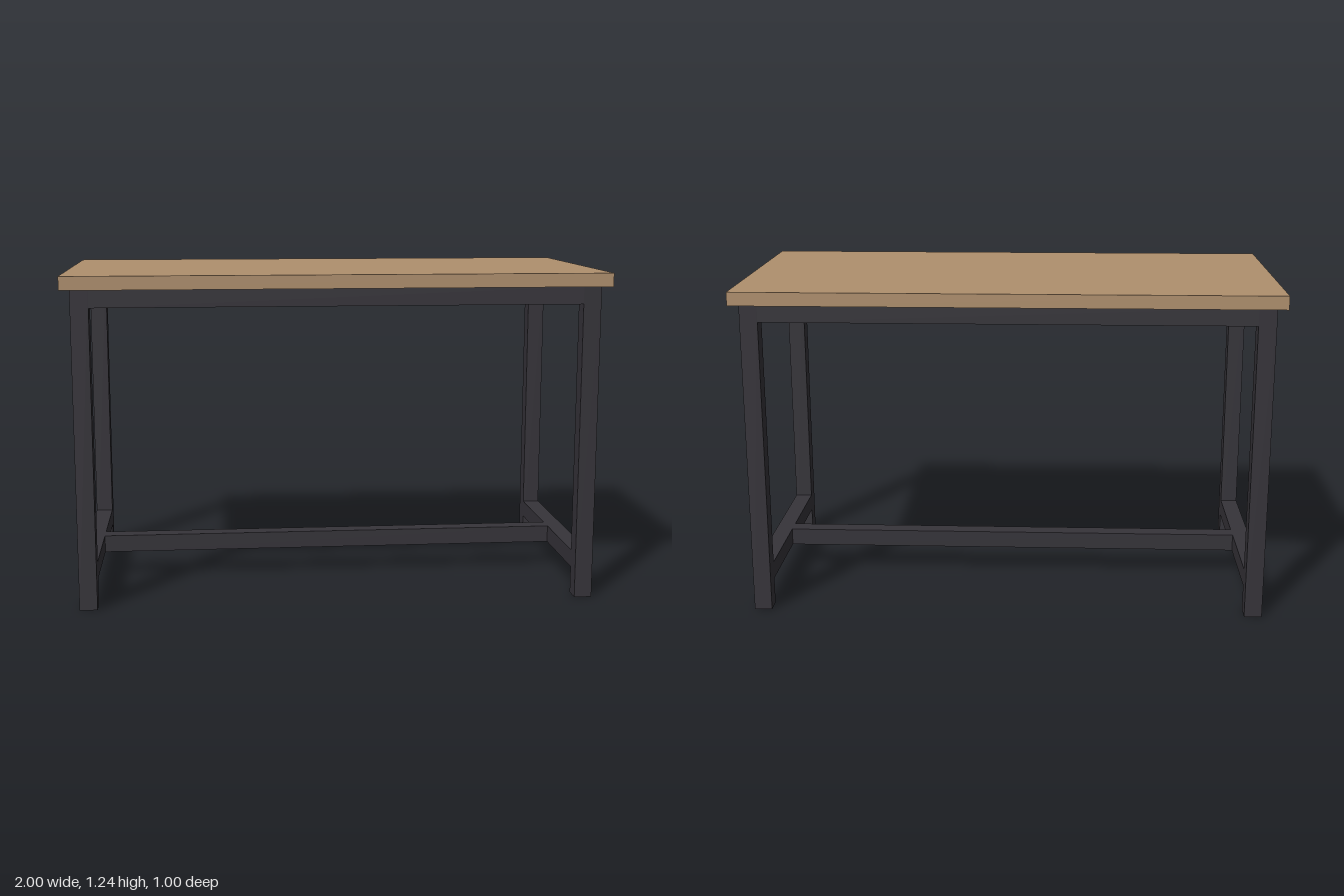
import * as THREE from 'three';

export function createModel() {
  const model = new THREE.Group();
  model.name = 'table';

  const wood = new THREE.MeshStandardMaterial({ color: 0xb0906e });
  wood.name = 'wood';
  const metal = new THREE.MeshStandardMaterial({ color: 0x36343a });
  metal.name = 'darkMetal';

  const bar = 0.066; // square tube width
  const legX = 0.933, legZ = 0.433; // leg centre lines
  const frameTop = 1.185, topThickness = 0.05;
  const spanX = 2 * legX - bar, spanZ = 2 * legZ - bar;
  const apronY = frameTop - bar / 2, stretcherY = 0.135;

  function box(name, material, size, position) {
    const mesh = new THREE.Mesh(new THREE.BoxGeometry(...size), material);
    mesh.name = name;
    mesh.position.set(...position);
    model.add(mesh);
  }

  // Table top
  box('tableTop', wood, [2, topThickness, 1], [0, frameTop + topThickness / 2, 0]);

  for (const sx of [-1, 1]) {
    const side = sx > 0 ? 'left' : 'right';
    // Legs
    for (const sz of [-1, 1]) {
      const end = sz > 0 ? 'Front' : 'Back';
      box(`${side}${end}Leg`, metal, [bar, frameTop, bar], [sx * legX, frameTop / 2, sz * legZ]);
    }
    // Short rails under the top and near the floor
    box(`${side}Apron`, metal, [bar, bar, spanZ], [sx * legX, apronY, 0]);
    box(`${side}Stretcher`, metal, [bar, bar, spanZ], [sx * legX, stretcherY, 0]);
  }

  // Long rails under the top
  for (const sz of [-1, 1]) {
    box(sz > 0 ? 'frontApron' : 'backApron', metal, [spanX, bar, bar], [0, apronY, sz * legZ]);
  }

  // Long centre stretcher joining the two low side rails
  box('centreStretcher', metal, [spanX, bar, bar], [0, stretcherY, 0]);

  return model;
}
